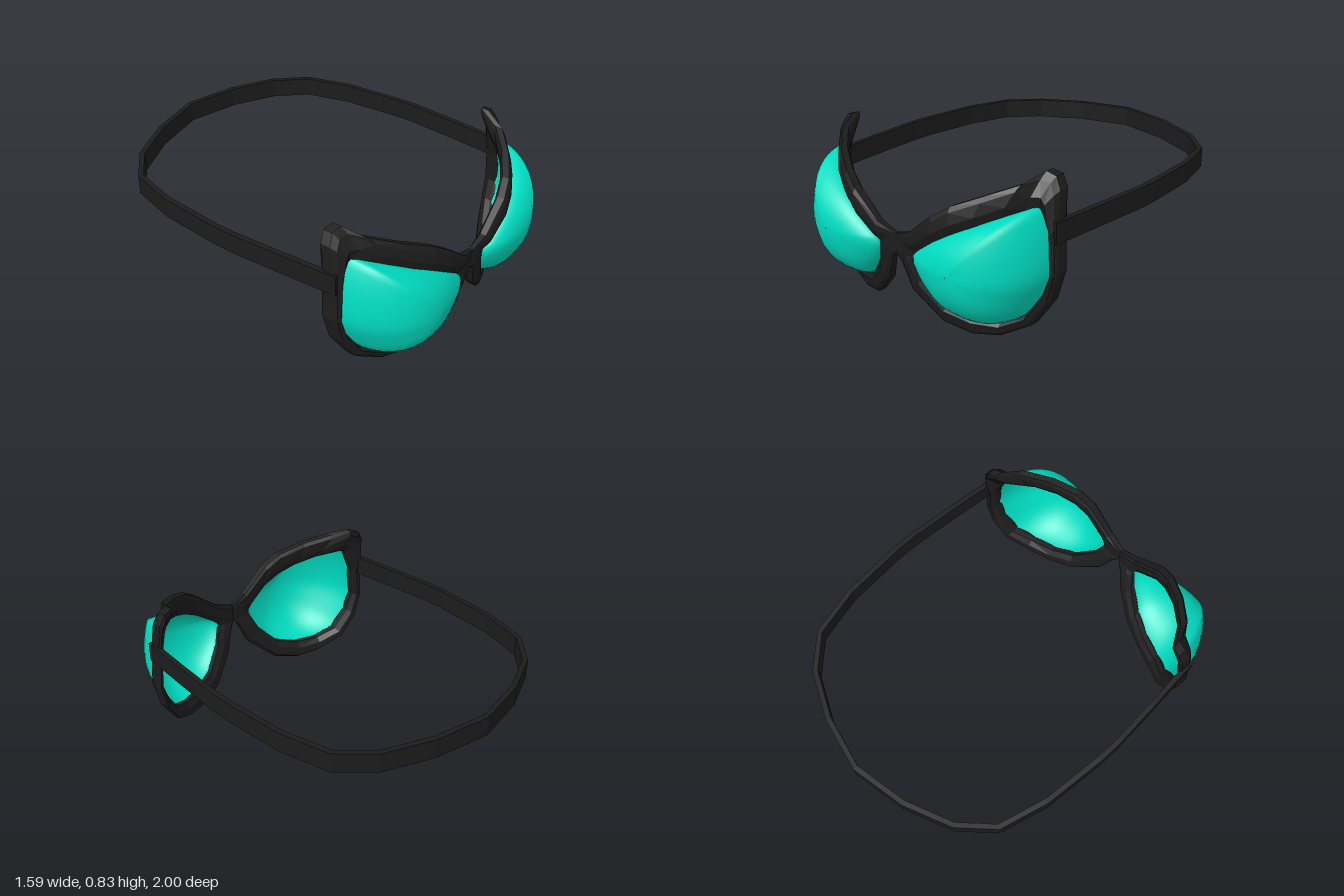
import * as THREE from 'three';

// Rim stations, clockwise from the bridge:
// outer x, y, z, inner x, y, z, half depth
const STATIONS = [
  [0, 0.455, 0.902, 0.12, 0.385, 0.9, 0.018],
  [0.1, 0.49, 0.91, 0.15, 0.41, 0.91, 0.028],
  [0.26, 0.62, 0.905, 0.26, 0.49, 0.915, 0.033],
  [0.35, 0.68, 0.875, 0.35, 0.545, 0.89, 0.033],
  [0.48, 0.738, 0.795, 0.44, 0.59, 0.845, 0.033],
  [0.6, 0.79, 0.685, 0.54, 0.638, 0.765, 0.035],
  [0.65, 0.835, 0.57, 0.62, 0.672, 0.68, 0.038],
  [0.7, 0.82, 0.56, 0.655, 0.685, 0.645, 0.043],
  [0.732, 0.765, 0.57, 0.668, 0.67, 0.635, 0.045],
  [0.742, 0.61, 0.595, 0.708, 0.545, 0.625, 0.045],
  [0.757, 0.38, 0.61, 0.72, 0.37, 0.625, 0.045],
  [0.72, 0.23, 0.62, 0.683, 0.265, 0.635, 0.045],
  [0.635, 0.095, 0.65, 0.61, 0.15, 0.67, 0.045],
  [0.5, 0.02, 0.715, 0.51, 0.1, 0.725, 0.04],
  [0.37, 0.003, 0.765, 0.38, 0.1, 0.77, 0.04],
  [0.23, 0.04, 0.815, 0.26, 0.14, 0.82, 0.04],
  [0.085, 0.18, 0.872, 0.155, 0.26, 0.87, 0.035],
  [0.03, 0.32, 0.892, 0.12, 0.345, 0.895, 0.025],
  [0, 0.36, 0.902, 0.115, 0.365, 0.9, 0.018],
];

// Rim cross-section: position from outer (0) to inner (1) edge, depth factor
const RIM_SECTION = [[0, 0.55], [0.2, 0.9], [0.65, 1], [1, 0.3], [1, -0.5], [0.65, -1], [0.15, -1], [0, -0.6]];

// Half of the strap, from the rim to the back of the head: x, y, z
const STRAP = [
  [0.735, 0.578, 0.64], [0.762, 0.578, 0.33], [0.782, 0.577, 0.06], [0.782, 0.576, -0.06],
  [0.757, 0.571, -0.4], [0.69, 0.565, -0.66], [0.535, 0.566, -0.815], [0.29, 0.573, -0.925], [0, 0.578, -0.985],
];

// Skin rows of points into a surface
function skin(rows, { loopRows = false, loopSection = false, flip = false, flat = true }) {
  const n = rows.length, m = rows[0].length, index = [];
  for (let i = 0; i < (loopRows ? n : n - 1); i++) {
    for (let j = 0; j < (loopSection ? m : m - 1); j++) {
      const i2 = (i + 1) % n, j2 = (j + 1) % m;
      const a = i * m + j, b = i2 * m + j, c = i2 * m + j2, d = i * m + j2;
      index.push(...(flip ? [a, b, c, a, c, d] : [a, d, c, a, c, b]));
    }
  }
  let geo = new THREE.BufferGeometry().setFromPoints(rows.flat());
  geo.setIndex(index);
  if (flat) geo = geo.toNonIndexed();
  geo.computeVertexNormals();
  return geo;
}

function rimGeometry(side) {
  const rows = STATIONS.map(([ox, oy, oz, ix, iy, iz, depth]) => {
    const outer = new THREE.Vector3(ox, oy, oz), inner = new THREE.Vector3(ix, iy, iz);
    return RIM_SECTION.map(([t, d]) => {
      const p = outer.clone().lerp(inner, t);
      p.z += d * depth;
      p.x *= side;
      return p;
    });
  });
  return skin(rows, { loopRows: true, loopSection: true, flip: side < 0 });
}

// Domed lens: every meridian is a quarter ellipse from the rim opening to the crown
function lensGeometry(side) {
  const edge = new THREE.CatmullRomCurve3(
    STATIONS.map((s) => new THREE.Vector3(s[3], s[4], s[5] - 0.01)), true);
  const around = 56, rings = 12;
  const crown = new THREE.Vector3(0.41, 0.39, 1);
  const rows = [];
  for (let i = 0; i < around; i++) {
    const rim = edge.getPointAt(i / around);
    const row = [];
    for (let j = 0; j <= rings; j++) {
      const a = (j / rings) * Math.PI / 2;
      // the last ring stays just open so its normals are well defined
      const t = Math.max(1.01 * Math.cos(a), 0.004);
      const p = crown.clone().lerp(rim, t);
      p.z = THREE.MathUtils.lerp(rim.z, crown.z, Math.sin(a));
      p.x *= side;
      row.push(p);
    }
    rows.push(row);
  }
  return skin(rows, { loopRows: true, flip: side < 0, flat: false });
}

function strapGeometry() {
  const half = STRAP.map((p) => new THREE.Vector3(...p));
  const mirrored = half.slice(0, -1).reverse().map((p) => new THREE.Vector3(-p.x, p.y, p.z));
  const path = [...half, ...mirrored];
  const rows = path.map((p, i) => {
    const dir = path[Math.min(i + 1, path.length - 1)].clone().sub(path[Math.max(i - 1, 0)]);
    const out = new THREE.Vector3(-dir.z, 0, dir.x).normalize().multiplyScalar(0.014);
    const up = new THREE.Vector3(0, 0.053, 0);
    return [[1, 1], [1, -1], [-1, -1], [-1, 1]].map(([o, u]) =>
      p.clone().addScaledVector(out, o).addScaledVector(up, u));
  });
  // close both ends
  const cap = (p) => [0, 1, 2, 3].map(() => p.clone());
  rows.unshift(cap(path[0]));
  rows.push(cap(path[path.length - 1]));
  return skin(rows, { loopSection: true });
}

export function createModel() {
  const black = new THREE.MeshStandardMaterial({ color: 0x1c1c1c });
  black.name = 'black rubber';
  const teal = new THREE.MeshStandardMaterial({ color: 0x00dbc0, side: THREE.DoubleSide });
  teal.name = 'teal lens';

  const model = new THREE.Group();
  model.name = 'goggles';
  const add = (name, geometry, material) => {
    const mesh = new THREE.Mesh(geometry, material);
    mesh.name = name;
    model.add(mesh);
  };
  for (const [name, side] of [['left', 1], ['right', -1]]) {
    add(name + 'Rim', rimGeometry(side), black);
    add(name + 'Lens', lensGeometry(side), teal);
  }
  add('strap', strapGeometry(), black);
  return model;
}
